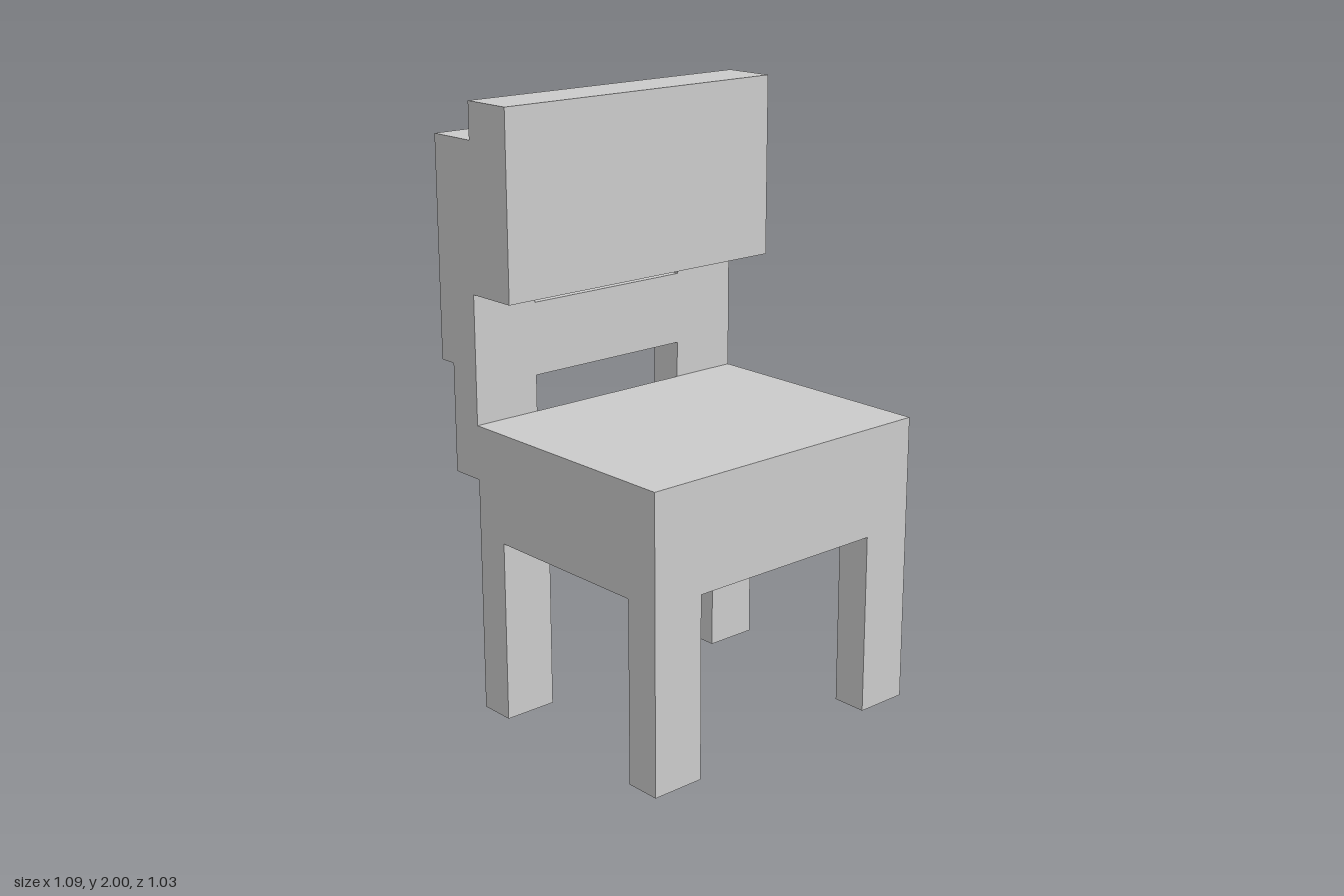
import * as THREE from 'three';

const material = new THREE.MeshStandardMaterial({ color: 0xcccccc, flatShading: true });

// Box given by its extents along each axis
function block(name, [x0, x1], [y0, y1], [z0, z1]) {
  const mesh = new THREE.Mesh(new THREE.BoxGeometry(x1 - x0, y1 - y0, z1 - z0), material);
  mesh.position.set((x0 + x1) / 2, (y0 + y1) / 2, (z0 + z1) / 2);
  mesh.name = name;
  return mesh;
}

export function createModel() {
  const chair = new THREE.Group();
  chair.name = 'chair';

  const half = 0.543;    // half width
  const legInner = 0.36;
  const postInner = 0.304;
  const front = 0.515;
  const seatBack = -0.335;
  const back = -0.515;

  // Thick seat and head panel
  chair.add(block('seat', [-half, half], [0.608, 0.973], [seatBack, front]));
  chair.add(block('backPanel', [-half, half], [1.398, 2], [seatBack, -0.153]));

  // Rail between the posts
  chair.add(block('backRail', [-postInner, postInner], [1.094, 1.335], [back, seatBack]));

  // Legs and stepped back posts, mirrored left and right
  for (const [side, s] of [['left', 1], ['right', -1]]) {
    const span = (inner) => (s > 0 ? [inner, half] : [-half, -inner]);
    chair.add(block(side + 'FrontLeg', span(legInner), [0, 0.608], [0.395, front]));
    chair.add(block(side + 'BackLeg', span(legInner), [0, 0.608], [seatBack, -0.212]));
    chair.add(block(side + 'LowerPost', span(postInner), [0.792, 1.154], [-0.454, seatBack]));
    chair.add(block(side + 'UpperPost', span(postInner), [1.154, 1.88], [back, seatBack]));
  }
  return chair;
}
